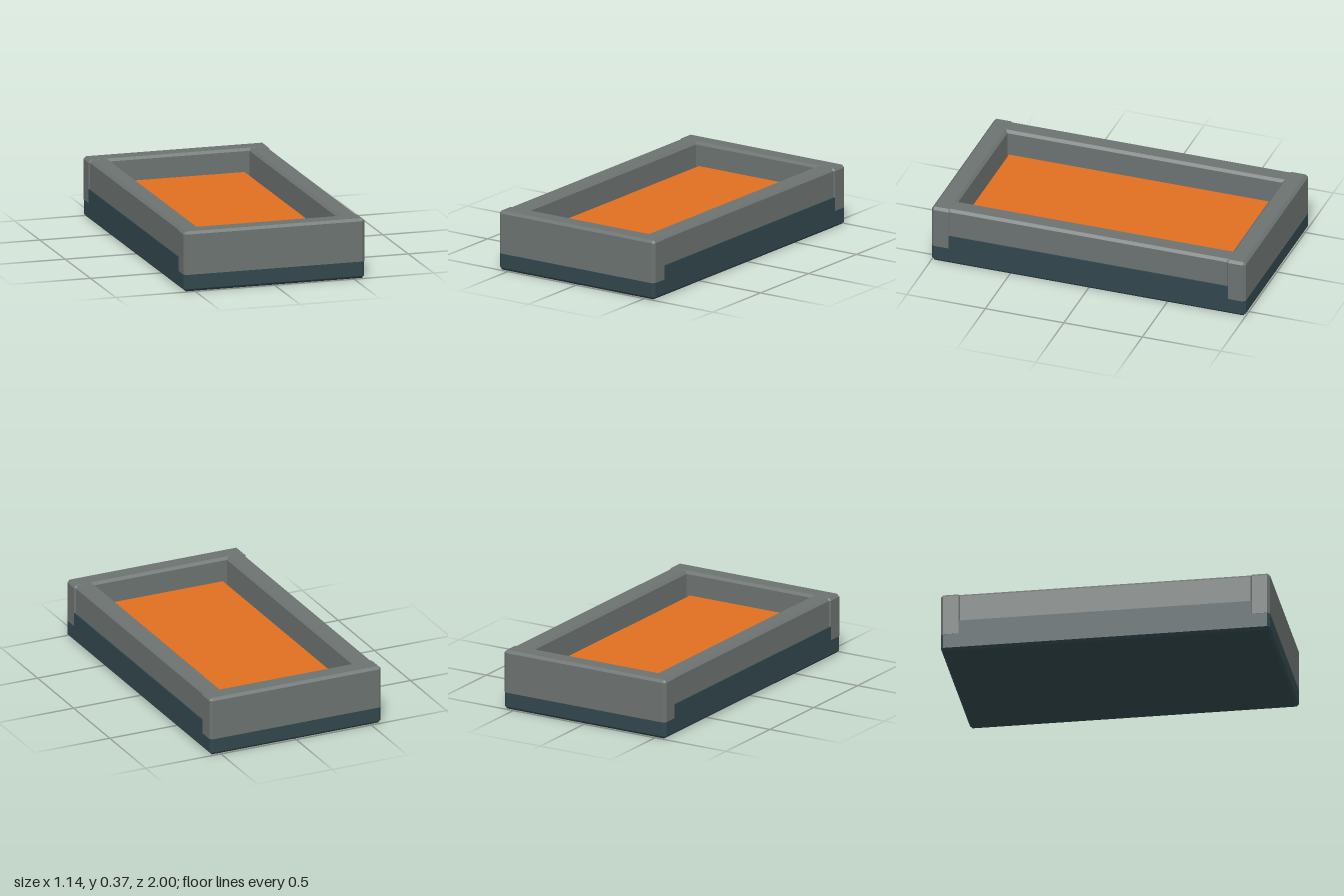
import * as THREE from 'three';
import { ConvexGeometry } from 'three/addons/geometries/ConvexGeometry.js';

const material = (color) => new THREE.MeshStandardMaterial({ color });

// Box between two corners with bevelled edges; the top and bottom bevels can be switched off.
function bevelBox(min, max, c, bevelTop = true, bevelBottom = true) {
  const centre = min.map((v, i) => (v + max[i]) / 2);
  const [hx, hy, hz] = min.map((v, i) => (max[i] - v) / 2);
  const points = [];
  for (const sx of [-1, 1]) for (const sy of [-1, 1]) for (const sz of [-1, 1]) {
    const add = (x, y, z) => points.push(new THREE.Vector3(
      centre[0] + sx * x, centre[1] + sy * y, centre[2] + sz * z));
    const bevelled = sy > 0 ? bevelTop : bevelBottom;
    const y = bevelled ? hy - c : hy;
    add(hx, y, hz - c);
    add(hx - c, y, hz);
    if (bevelled) add(hx - c, hy, hz - c);
  }
  return new ConvexGeometry(points);
}

export function createModel() {
  const group = new THREE.Group();
  const frame = material(0x6c7371);
  const baseColor = material(0x32474d);
  const bevel = 0.016;

  const add = (name, geometry, mat) => {
    const mesh = new THREE.Mesh(geometry, mat);
    mesh.name = name;
    group.add(mesh);
    return mesh;
  };

  // Solid base slab
  add('base', bevelBox([-0.569, 0, -0.999], [0.569, 0.19, 0.999], bevel, false), baseColor);

  // Raised inlay panel, leaving a narrow channel around it
  const inlay = new THREE.BoxGeometry(0.8, 0.05, 1.7).translate(0, 0.207, 0);
  add('inlayPanel', inlay, material(0xe07020));

  // End caps reach further down over the base than the side rails
  for (const s of [-1, 1]) {
    const z = [s * 0.875, s].sort((a, b) => a - b);
    add(s > 0 ? 'frontCap' : 'backCap',
      bevelBox([-0.57, 0.105, z[0]], [0.57, 0.37, z[1]], bevel, true, false), frame);
  }

  // Side rails, set slightly in from the caps
  for (const s of [-1, 1]) {
    const x = [s * 0.44, s * 0.562].sort((a, b) => a - b);
    add(s > 0 ? 'leftRail' : 'rightRail',
      bevelBox([x[0], 0.185, -0.91], [x[1], 0.369, 0.91], bevel, true, false), frame);
  }

  return group;
}
